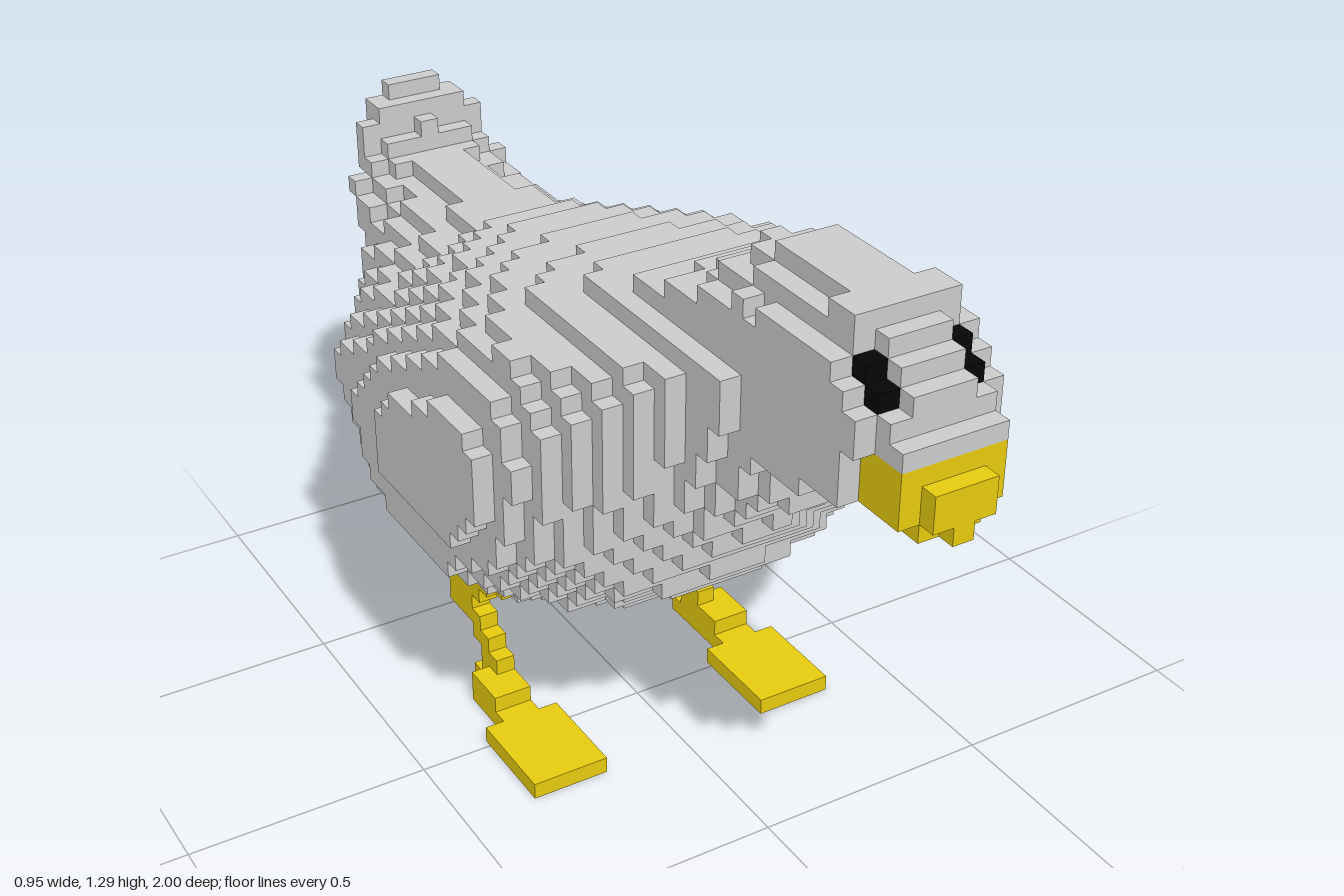
import * as THREE from 'three';

// Size of one block and number of slices from beak to tail
const DX = 0.0411, DY = 0.035, SLICES = 57, DZ = 2 / SLICES;

// Body profiles along z: back line, belly line, half width
const BACK = [[0.83, 1.3], [0.56, 1.3], [0.53, 1.27],
  [0.46, 1.25], [0.42, 1.2], [0.35, 1.16], [0.28, 1.12], [0.17, 1.09], [0.03, 1.05], [-0.12, 1.02],
  [-0.25, 0.985], [-0.43, 0.94], [-0.46, 0.912], [-0.87, 0.912], [-0.9, 0.94], [-0.94, 1.02], [-0.98, 1.055]];
const BELLY = [[0.79, 0.98], [0.75, 0.95], [0.63, 0.91], [0.6, 0.82], [0.51, 0.745], [0.44, 0.64],
  [0.37, 0.565], [0.31, 0.48], [0.23, 0.43], [0.17, 0.39], [0.06, 0.355], [-0.05, 0.29], [-0.4, 0.295],
  [-0.43, 0.33], [-0.53, 0.375], [-0.64, 0.43], [-0.72, 0.5], [-0.8, 0.6], [-0.84, 0.67], [-0.9, 0.75],
  [-0.95, 0.82], [-1, 0.85]];
const WIDTH = [[0.85, 0.15], [0.6, 0.15], [0.57, 0.166], [0.47, 0.2], [0.43, 0.25], [0.4, 0.29],
  [0.36, 0.332], [0.33, 0.372], [0.28, 0.413], [0.22, 0.455], [0.1, 0.47], [-0.08, 0.47], [-0.2, 0.454],
  [-0.38, 0.413], [-0.57, 0.372], [-0.6, 0.33], [-0.65, 0.288], [-0.72, 0.249], [-0.79, 0.208],
  [-0.93, 0.166], [-0.965, 0.124], [-1, 0.1]];
// Roundness of the upper and lower half of each cross-section (2 = ellipse)
const UPPER = [[0.8, 2.5], [0.75, 2.1], [0.6, 2], [0.45, 1.7], [0.3, 2.1], [0.2, 2.6], [0.05, 2.7], [-0.1, 2.4],
  [-0.4, 1.9], [-0.5, 1.6], [-0.85, 1.35], [-0.93, 1.6], [-1, 2.1]];
const LOWER = [[0.7, 5], [0.6, 2.4], [0.5, 2], [0.3, 2.1], [0, 2.5], [-0.05, 2.7], [-0.45, 2.7], [-0.6, 2.1], [-1, 2.3]];
// Widest the body gets at each height (narrow neck above the shoulders)
const LIMIT = [[1.24, 0.11], [1.22, 0.144], [1.1, 0.144], [1.06, 0.18], [1.03, 0.26], [1.01, 0.39], [0.95, 0.4],
  [0.93, 0.43], [0.88, 0.44], [0.87, 0.475], [0.6, 0.475], [0.59, 0.435], [0.46, 0.435], [0.44, 0.39],
  [0.4, 0.35], [0.37, 0.3], [0.33, 0.265], [0.3, 0.144]];

// Linear lookup in a list of [position, value] with falling positions
function at(list, p) {
  if (p >= list[0][0]) return list[0][1];
  for (let n = 1; n < list.length; n++) {
    const [p0, v0] = list[n - 1], [p1, v1] = list[n];
    if (p >= p1) return v0 + (v1 - v0) * (p0 - p) / (p0 - p1);
  }
  return list[list.length - 1][1];
}

const key = (i, j, k) => `${i},${j},${k}`;

function fillCells() {
  const cells = new Map();
  const put = (part, i, j, k) => {
    if (!cells.has(key(i, j, k))) cells.set(key(i, j, k), { part, i, j, k });
  };
  const row = (part, half, j, k) => {
    for (let i = -half; i <= half; i++) put(part, i, j, k);
  };

  // Eyes
  for (const s of [-1, 1]) {
    put('eyes', 2 * s, 33, 3);
    put('eyes', 2 * s, 34, 4);
  }

  // Beak with a narrow tip below
  row('beak', 0, 27, 0);
  for (const j of [28, 29]) row('beak', 1, j, 0);
  for (let k = 1; k <= 3; k++) {
    row('beak', 1, 27, k);
    for (let j = 28; j <= 30; j++) row('beak', 2, j, k);
  }

  // Sloping face: lowest row, then the half width of each row upwards
  const face = [[31, 2], [31, 2, 2, 1], [31, 3, 3, 1, 1], [28, 3, 3, 3, 3, 3, 3, 1, 1]];
  face.forEach(([low, ...halves], n) => halves.forEach((half, m) => row('body', half, low + m, n + 1)));

  // Head, body and tail, slice by slice
  for (let k = 5; k < SLICES; k++) {
    const z = 1 - (k + 0.5) * DZ;
    const top = at(BACK, z), bottom = at(BELLY, z), width = at(WIDTH, z);
    const middle = bottom + (top - bottom) * 0.52;
    for (let j = 0; j < 37; j++) {
      const y = (j + 0.5) * DY;
      if (y < bottom || y > top) continue;
      const t = y > middle ? (y - middle) / (top - middle) : (middle - y) / (middle - bottom);
      const power = at(y > middle ? UPPER : LOWER, z);
      const w = width * Math.pow(1 - Math.pow(t, power), 1 / power);
      row('body', Math.floor(Math.min(w, at(LIMIT, y)) / DX), j, k);
    }
  }

  // Legs: first and last slice of each row, from the ankle up
  const legRows = [[30, 33], [32, 33], [33, 34], [34, 37], [35, 37], [34, 38], [33, 39], [31, 39]];
  for (const [side, s] of [['left', 1], ['right', -1]]) {
    legRows.forEach(([a, b], n) => {
      for (let k = a; k <= b; k++) put(side + 'Leg', 6 * s, n + 1, k);
    });
    // Belly blocks the leg hangs from
    for (let k = 31; k <= 39; k++) put('body', 6 * s, 9, k);
    // Foot with a wide pad, a narrow heel and a raised ankle
    for (let k = 23; k <= 34; k++) {
      const [a, b] = k < 29 ? [5, 8] : [6, k < 33 ? 7 : 6];
      for (let i = a; i <= b; i++) put(side + 'Foot', i * s, 0, k);
    }
    for (let k = 30; k <= 32; k++) put(side + 'Foot', 7 * s, 1, k);
  }
  return cells;
}

// Outward direction and two in-plane axes of each block side (u x v = n)
const SIDES = [
  [[1, 0, 0], [0, 1, 0], [0, 0, 1]], [[-1, 0, 0], [0, 0, 1], [0, 1, 0]],
  [[0, 1, 0], [0, 0, 1], [1, 0, 0]], [[0, -1, 0], [1, 0, 0], [0, 0, 1]],
  [[0, 0, 1], [1, 0, 0], [0, 1, 0]], [[0, 0, -1], [0, 1, 0], [1, 0, 0]],
];
const CORNERS = [[-1, -1], [1, -1], [1, 1], [-1, -1], [1, 1], [-1, 1]];

// Outer skin of one part: only block sides with no neighbour
function skin(cells, part) {
  const positions = [], normals = [], size = [DX / 2, DY / 2, DZ / 2];
  for (const c of cells.values()) {
    if (c.part !== part) continue;
    const centre = [c.i * DX, (c.j + 0.5) * DY, 1 - (c.k + 0.5) * DZ];
    for (const [n, u, v] of SIDES) {
      if (cells.has(key(c.i + n[0], c.j + n[1], c.k - n[2]))) continue;
      for (const [a, b] of CORNERS) {
        for (let d = 0; d < 3; d++) positions.push(centre[d] + size[d] * (n[d] + a * u[d] + b * v[d]));
        normals.push(...n);
      }
    }
  }
  const geometry = new THREE.BufferGeometry();
  geometry.setAttribute('position', new THREE.Float32BufferAttribute(positions, 3));
  geometry.setAttribute('normal', new THREE.Float32BufferAttribute(normals, 3));
  return geometry;
}

export function createModel() {
  const group = new THREE.Group();
  group.name = 'blockBird';
  const grey = new THREE.MeshStandardMaterial({ color: 0xcccccc });
  const yellow = new THREE.MeshStandardMaterial({ color: 0xe6ca0e });
  const black = new THREE.MeshStandardMaterial({ color: 0x060606 });
  const parts = {
    body: grey, eyes: black, beak: yellow,
    leftLeg: yellow, rightLeg: yellow, leftFoot: yellow, rightFoot: yellow,
  };
  const cells = fillCells();
  for (const [name, material] of Object.entries(parts)) {
    const mesh = new THREE.Mesh(skin(cells, name), material);
    mesh.name = name;
    group.add(mesh);
  }
  return group;
}
